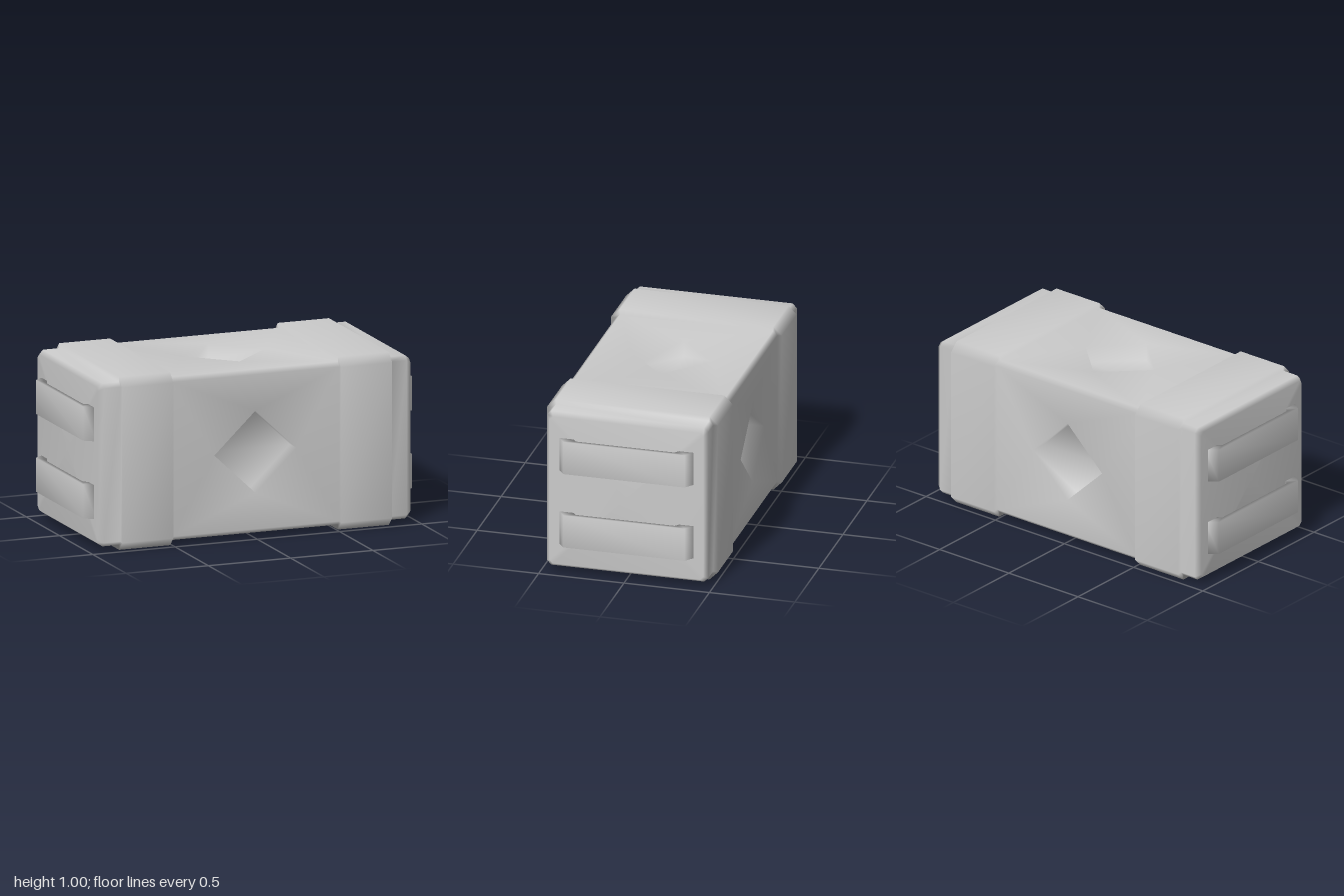
import * as THREE from 'three';
import { mergeVertices } from 'three/addons/utils/BufferGeometryUtils.js';

const material = new THREE.MeshStandardMaterial({ color: 0xcccccc });

// Weld coincident corners so shading flows smoothly across the part
function smooth(geometry) {
  geometry.deleteAttribute('normal');
  geometry.deleteAttribute('uv');
  const welded = mergeVertices(geometry, 1e-4);
  welded.computeVertexNormals();
  return welded;
}

// Square with cut corners, in the plane across the crate's length
function section(x, h, c) {
  const e = h - c;
  return [[h, -e], [h, e], [e, h], [-e, h], [-h, e], [-h, -e], [-e, -h], [e, -h]]
    .map(([z, y]) => [x, y, z]);
}

function crateGeometry() {
  const half = 0.472, cut = 0.025, inner = 0.51, pitDepth = 0.1;
  const positions = [];
  const tri = (a, b, c) => positions.push(...a, ...b, ...c);
  const quad = (a, b, c, d) => { tri(a, b, c); tri(a, c, d); };

  // Lengthwise profile: bevelled end, body, raised band, body
  const profile = [
    [0.95, 0.45, 0.02], [0.92, half, cut], [0.82, half, cut],
    [0.82, 0.5, 0.05], [inner, 0.5, 0.05], [inner, half, cut],
  ];
  const loops = [
    ...profile.map(([x, h, c]) => section(-x, h, c)),
    ...profile.slice().reverse().map(([x, h, c]) => section(x, h, c)),
  ];
  for (let l = 0; l < loops.length - 1; l++) {
    const a = loops[l], b = loops[l + 1];
    for (let i = 0; i < 8; i++) {
      const j = (i + 1) % 8;
      // The four middle panels carry pits and are made below
      if (l === profile.length - 1 && i % 2 === 0) continue;
      quad(a[i], b[i], b[j], a[j]);
    }
  }

  // End faces
  const first = loops[0], last = loops[loops.length - 1];
  for (let i = 0; i < 8; i++) {
    const j = (i + 1) % 8;
    tri([-0.95, 0, 0], first[i], first[j]);
    tri([0.95, 0, 0], last[j], last[i]);
  }

  // Middle panels, each with a sunken diamond
  const e = half - cut;
  const rim = [[-inner, -e], [inner, -e], [inner, e], [-inner, e]].map((p) => new THREE.Vector2(...p));
  const diamond = [[0.25, 0], [0, 0.238], [-0.25, 0], [0, -0.238]].map((p) => new THREE.Vector2(...p));
  const hole = diamond.slice().reverse();
  const faces = THREE.ShapeUtils.triangulateShape(rim, [hole]);
  const points = [...rim, ...hole];
  for (let k = 0; k < 4; k++) {
    const cos = Math.round(Math.cos(k * Math.PI / 2)), sin = Math.round(Math.sin(k * Math.PI / 2));
    const place = (p, z) => [p.x, p.y * cos - z * sin, p.y * sin + z * cos];
    for (const f of faces) tri(...f.map((n) => place(points[n], half)));
    const top = diamond.map((p) => place(p, half));
    const floor = diamond.map((p) => place(p, half - pitDepth));
    for (let i = 0; i < 4; i++) {
      const j = (i + 1) % 4;
      quad(top[i], top[j], floor[j], floor[i]);
    }
    quad(...floor);
  }

  const geometry = new THREE.BufferGeometry();
  geometry.setAttribute('position', new THREE.Float32BufferAttribute(positions, 3));
  return smooth(geometry);
}

// Flat bar standing off the end face on two slanted feet
function handleGeometry() {
  const shape = new THREE.Shape([
    [0.94, -0.4], [1, -0.355], [1, 0.355], [0.94, 0.4],
    [0.94, 0.315], [0.975, 0.29], [0.975, -0.29], [0.94, -0.315],
  ].map((p) => new THREE.Vector2(...p)));
  const geometry = new THREE.ExtrudeGeometry(shape, { depth: 0.197, bevelEnabled: false });
  geometry.rotateX(-Math.PI / 2);
  return smooth(geometry);
}

export function createModel() {
  const group = new THREE.Group();
  group.name = 'crate';

  const body = new THREE.Mesh(crateGeometry(), material);
  body.name = 'bandedBody';
  body.position.y = 0.5;
  group.add(body);

  // Two handles on each end
  const handle = handleGeometry();
  for (const side of ['left', 'right']) {
    for (const [level, y] of [['Lower', 0.177], ['Upper', 0.627]]) {
      const mesh = new THREE.Mesh(handle, material);
      mesh.name = `${side}${level}Handle`;
      mesh.position.y = y;
      mesh.rotation.y = side === 'left' ? 0 : Math.PI;
      group.add(mesh);
    }
  }
  return group;
}
